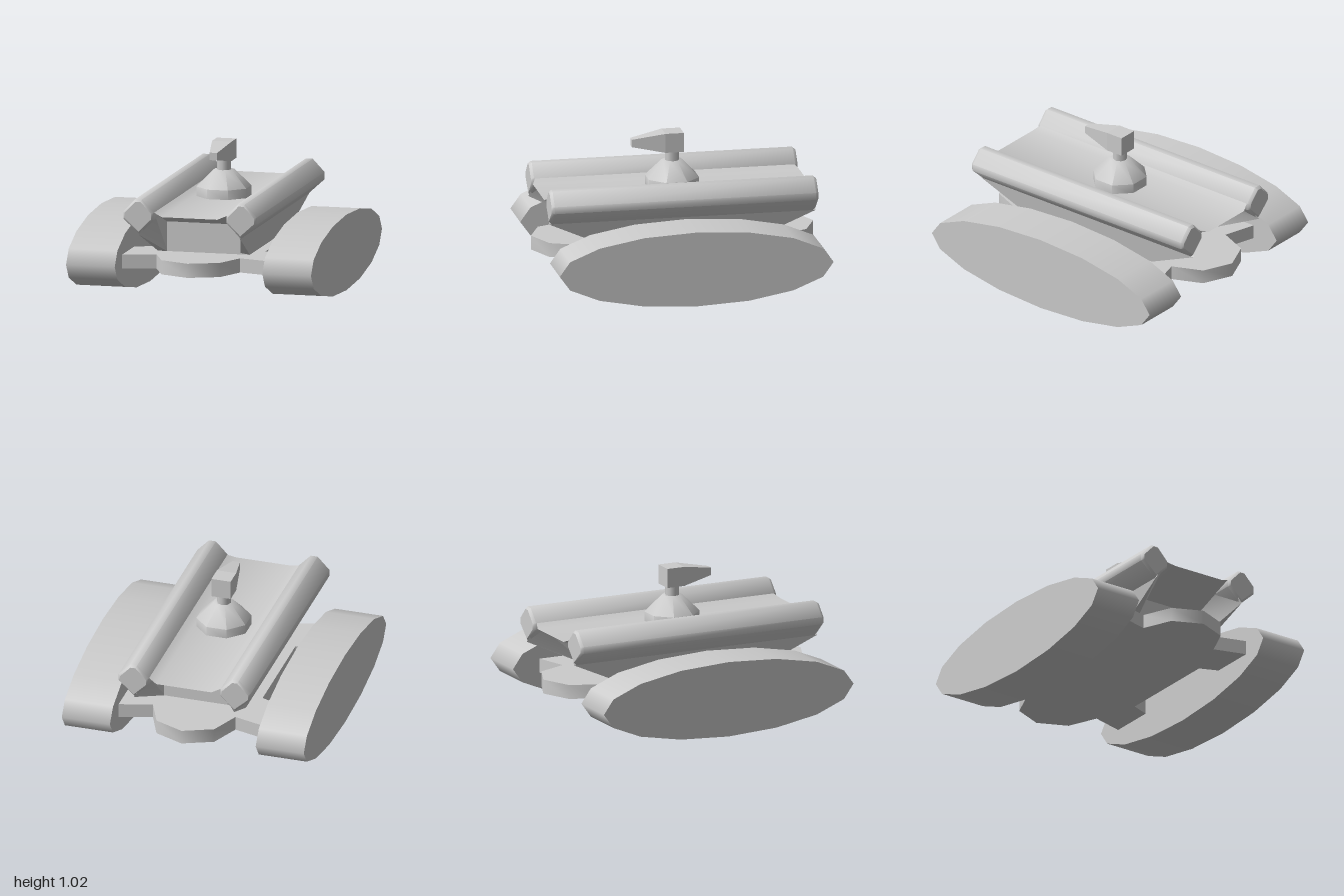
import * as THREE from 'three';
import { toCreasedNormals } from 'three/addons/utils/BufferGeometryUtils.js';

const material = new THREE.MeshStandardMaterial({ color: 0xcccccc });

function part(name, geometry, crease) {
  const mesh = new THREE.Mesh(crease ? toCreasedNormals(geometry, crease) : geometry, material);
  mesh.name = name;
  return mesh;
}

// Skins a series of closed loops (counter-clockwise from +z, ordered back to front) and caps both ends.
function skin(rings) {
  const n = rings[0].length, index = [], last = (rings.length - 1) * n;
  for (let i = 0; i < rings.length - 1; i++) {
    for (let j = 0; j < n; j++) {
      const k = (j + 1) % n;
      const a = i * n + j, b = i * n + k, c = b + n, d = a + n;
      index.push(a, b, c, a, c, d);
    }
  }
  for (let j = 1; j < n - 1; j++) {
    index.push(0, j + 1, j, last, last + j, last + j + 1);
  }
  const geometry = new THREE.BufferGeometry();
  geometry.setAttribute('position', new THREE.Float32BufferAttribute(rings.flat(2), 3));
  geometry.setIndex(index);
  return geometry;
}

// Full loop from its right-hand half, listed bottom to top.
const mirrorLoop = (half) => [...half, ...half.map(([x, y, z]) => [-x, y, z]).reverse()];
const flipZ = (half) => half.map(([x, y, z]) => [x, y, -z]);

function rectRing(z, w, y0, y1) {
  return [[-w, y0, z], [w, y0, z], [w, y1, z], [-w, y1, z]];
}

function shapeOf(points) {
  return new THREE.Shape(points.map(([x, y]) => new THREE.Vector2(x, y)));
}

export function createModel() {
  const model = new THREE.Group();
  model.name = 'trackedVehicle';

  // Elliptical track pods
  for (const side of [-1, 1]) {
    const geometry = new THREE.CylinderGeometry(1, 1, 0.35, 16);
    geometry.rotateZ(Math.PI / 2).scale(1, 0.267, 0.97);
    const track = part(side > 0 ? 'leftTrack' : 'rightTrack', geometry);
    track.position.set(side * 0.705, 0.267, 0);
    model.add(track);
  }

  // Base plate with pointed ends and four arms
  const corner = [[0.21, 0.91], [0.3, 0.7], [0.53, 0.765], [0.53, 0.435], [0.4, 0.385]];
  const rightEdge = [...corner, ...corner.map(([x, z]) => [x, -z]).reverse()];
  const outline = [[0, 1], ...rightEdge, [0, -1], ...rightEdge.map(([x, z]) => [-x, z]).reverse()];
  const plate = new THREE.ExtrudeGeometry(shapeOf(outline), { depth: 0.1, bevelEnabled: false });
  plate.rotateX(Math.PI / 2).translate(0, 0.32, 0);
  model.add(part('basePlate', plate, 0.85));

  // Hull with an overhanging deck, hollowed underneath at both ends
  const outer = [[0.33, 0.32, 0.55], [0.365, 0.5, 0.945], [0.26, 0.655, 0.92], [0.2, 0.63, 0.945]];
  const inner = [[0.265, 0.32, 0.55], [0.265, 0.33, 0.55], [0.265, 0.53, 0.55], [0.2, 0.53, 0.55]];
  const hull = skin([flipZ(inner), flipZ(outer), outer, inner].map(mirrorLoop));
  model.add(part('hull', hull, 0.6));

  // Chamfered rails along the deck edges
  const section = [[0.365, 0.5], [0.48, 0.605], [0.48, 0.655], [0.395, 0.745],
    [0.345, 0.745], [0.26, 0.655], [0.26, 0.605]];
  for (const side of [-1, 1]) {
    const points = section.map(([x, y]) => [side * x, y]);
    const rail = new THREE.ExtrudeGeometry(shapeOf(points), {
      depth: 1.85, bevelThickness: 0.02, bevelSize: 0.015, bevelOffset: -0.015, bevelSegments: 1,
    });
    rail.translate(0, 0, -0.925);
    model.add(part(side > 0 ? 'leftRail' : 'rightRail', rail, 0.85));
  }

  // Eight-sided turret dome
  const profile = [[0.193, 0.62], [0.193, 0.697], [0.073, 0.815], [0, 0.815]]
    .map(([r, y]) => new THREE.Vector2(r, y));
  const dome = new THREE.LatheGeometry(profile, 8);
  dome.rotateY(Math.PI / 8);
  model.add(part('turretDome', dome, 0.82));

  // Neck and tapered gun
  const neck = part('turretNeck', new THREE.CylinderGeometry(0.05, 0.05, 0.09, 8));
  neck.position.y = 0.85;
  model.add(neck);
  const gun = skin([
    rectRing(-0.07, 0.07, 0.885, 1.022),
    rectRing(0.06, 0.07, 0.885, 1.022),
    rectRing(0.29, 0.027, 0.927, 0.98),
  ]);
  model.add(part('gun', gun, 0.1));

  return model;
}
